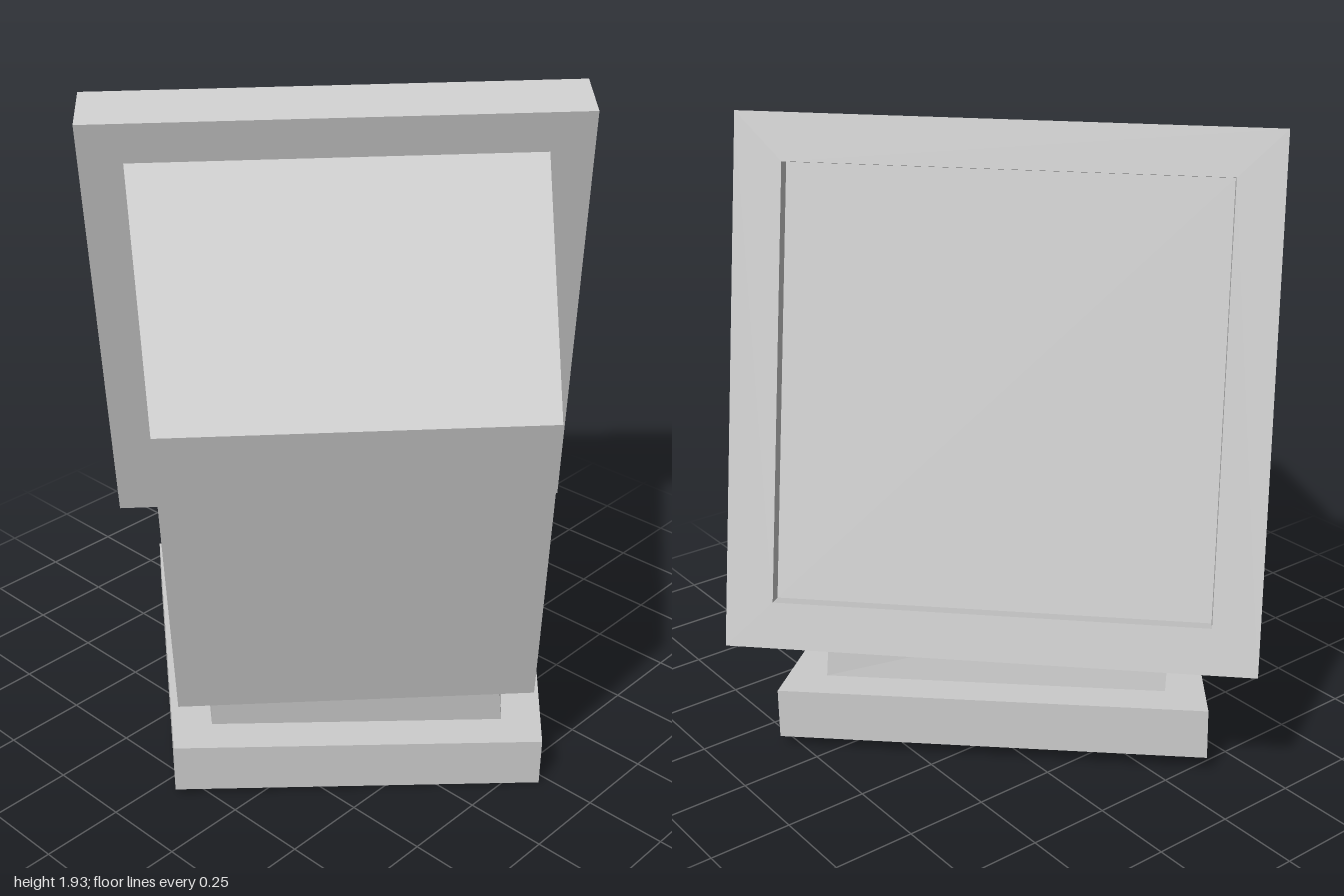
import * as THREE from 'three';

const material = new THREE.MeshStandardMaterial({ color: 0xcccccc, flatShading: true, side: THREE.DoubleSide });
const V = (x, y, z) => new THREE.Vector3(x, y, z);

// Tilted and turned frame of the monitor head: x across, y up the screen, z towards the rear
const across = V(0.694, 0.013, -0.72).normalize();
const up = V(0.163, 0.971, 0.176).normalize();
const rear = across.clone().cross(up).normalize();
const headFrame = new THREE.Matrix4().makeBasis(across, up, rear).setPosition(-0.207, 1.13, -0.183);

// Rectangle of four corners across the head at depth z
function loop(half, z, yc = 0) {
  return [[-1, -1], [1, -1], [1, 1], [-1, 1]].map(([sx, sy]) =>
    V(sx * half, yc + sy * half, z).applyMatrix4(headFrame));
}

// Shrinks a four-cornered loop about its centre
function inset(points, k) {
  const c = points.reduce((s, p) => s.add(p), V(0, 0, 0)).multiplyScalar(0.25);
  return points.map(p => c.clone().lerp(p, k));
}

// Quads joining successive loops, optionally leaving out one side
function bands(loops, skip = -1) {
  const quads = [];
  for (let n = 0; n + 1 < loops.length; n++) {
    for (let i = 0; i < 4; i++) {
      const j = (i + 1) % 4, a = loops[n], b = loops[n + 1];
      if (i !== skip) quads.push([a[i], a[j], b[j], b[i]]);
    }
  }
  return quads;
}

function part(name, quads) {
  const points = quads.flatMap(([a, b, c, d]) => [a, b, c, a, c, d]);
  const geometry = new THREE.BufferGeometry().setFromPoints(points);
  geometry.computeVertexNormals();
  const mesh = new THREE.Mesh(geometry, material);
  mesh.name = name;
  return mesh;
}

export function createModel() {
  const group = new THREE.Group();
  group.name = 'monitor';

  // Screen recessed in a square bezel
  const screen = loop(0.63, -0.13);
  const bodyFront = loop(0.632, 0);
  group.add(part('screen', [[...screen].reverse()]));
  group.add(part('bezel', bands([screen, loop(0.63, -0.19), loop(0.766, -0.19), loop(0.766, 0), bodyFront])));

  // Tapered housing, its underside open where the neck joins
  const bodyRear = loop(0.522, 1.071, -0.03);
  const underside = [bodyFront[0], bodyFront[1], bodyRear[1], bodyRear[0]];
  const neckTop = inset(underside, 0.82);
  group.add(part('housing', [...bands([bodyFront, bodyRear], 0), bodyRear, ...bands([underside, neckTop])]));

  // Hollow stand: a trapezoid foot without a floor, and the neck rising from it
  const footBottom = [V(-0.8, 0.055, 0.12), V(0.12, 0.035, -0.805), V(0.83, 0, 0.03), V(0.07, 0.02, 0.825)];
  const footTop = footBottom.map(p => p.clone().add(V(0.005, 0.157, 0.002)));
  const neckBottom = inset(footTop, 0.8);
  group.add(part('neck', bands([neckTop, neckBottom])));
  group.add(part('foot', bands([neckBottom, footTop, footBottom])));

  return group;
}
